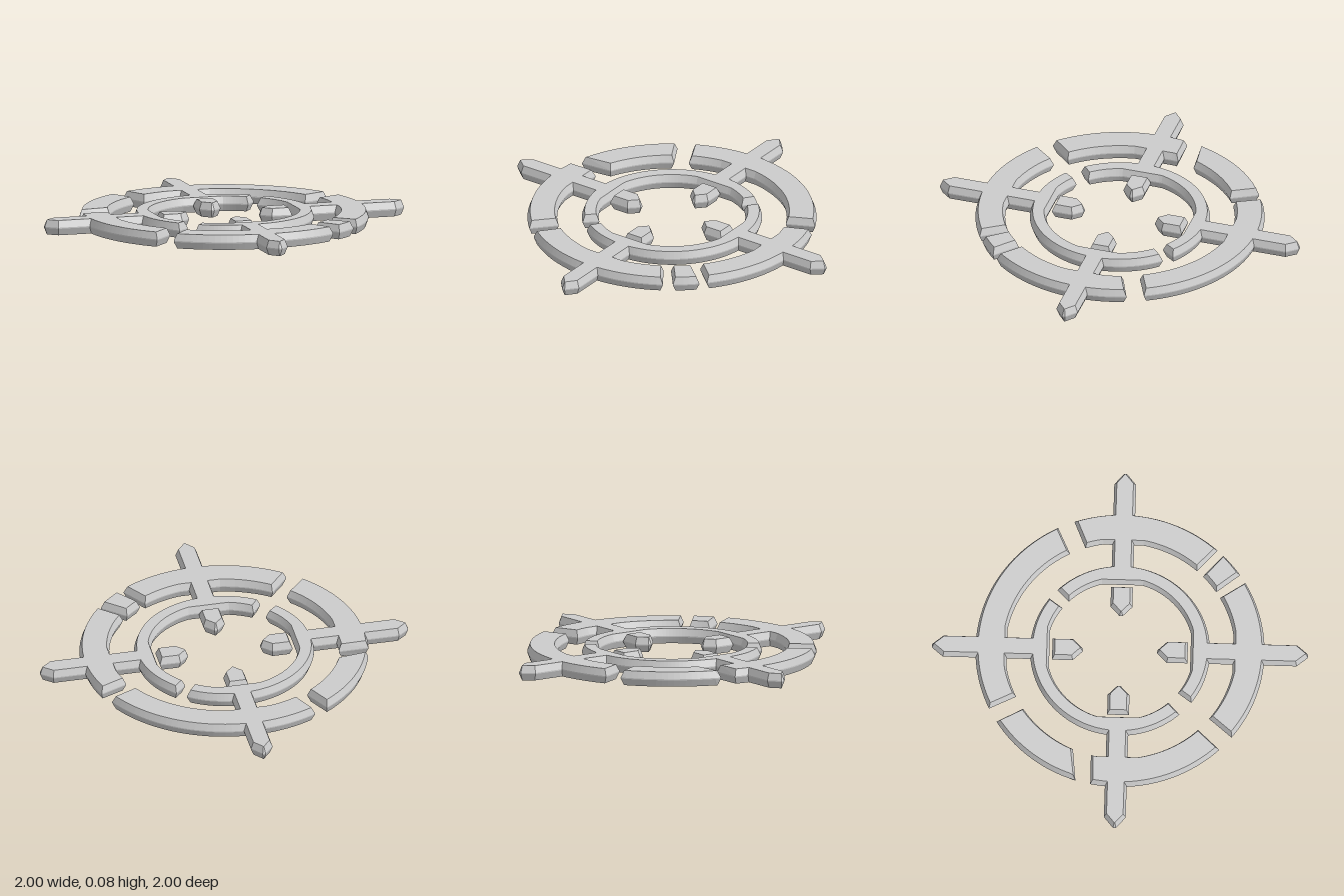
import * as THREE from 'three';

const RAD = Math.PI / 180;
const HEIGHT = 0.08, BEVEL = 0.014;
const INNER = [0.39, 0.478];      // radii of the inner ring
const OUTER = [0.61, 0.768];      // radii of the outer ring
const HALF = 0.058;               // half width of spokes and pegs
const FLAT = { 0.39: 0.375, 0.61: 0.6 };   // inner edges flatten across the axes

// points along an arc, angles in degrees counter-clockwise from +x seen from above
function arc(r, a0, a1) {
  const n = Math.max(2, Math.ceil(Math.abs(a1 - a0) / 2.5));
  const lim = FLAT[r] ?? r;
  const pts = [];
  for (let i = 0; i <= n; i++) {
    const a = (a0 + (a1 - a0) * i / n) * RAD;
    pts.push(new THREE.Vector2(
      THREE.MathUtils.clamp(r * Math.cos(a), -lim, lim),
      THREE.MathUtils.clamp(r * Math.sin(a), -lim, lim)));
  }
  return pts;
}

// point given along and across a spoke direction
function local(angle, along, across) {
  return new THREE.Vector2(along, across).rotateAround(new THREE.Vector2(), angle * RAD);
}

// angle at which a spoke's side meets a circle
const half = (r) => Math.asin(HALF / r) / RAD;

// plate with a ridge at mid height and sloping edges
function plate(name, pts) {
  const outline = pts.filter((p, i) => p.distanceTo(pts[(i + 1) % pts.length]) > 1e-4);
  const depth = 0.006;
  const geo = new THREE.ExtrudeGeometry(new THREE.Shape(outline), {
    depth, bevelEnabled: true, bevelSegments: 1,
    bevelSize: BEVEL, bevelOffset: -BEVEL, bevelThickness: (HEIGHT - depth) / 2,
  });
  geo.translate(0, 0, (HEIGHT - depth) / 2);
  geo.rotateX(-Math.PI / 2);
  const mesh = new THREE.Mesh(geo,
    new THREE.MeshStandardMaterial({ color: 0xcccccc, flatShading: true }));
  mesh.name = name;
  return mesh;
}

// free ring block: inner and outer edges may end at different angles
const block = (name, in0, in1, out0, out1) =>
  plate(name, [...arc(OUTER[1], out0, out1), ...arc(OUTER[0], in1, in0)]);

// outline of one spoke with the outer ring segment it carries
function spoke({ at, in0, in1, out0, out1 }) {
  const hi = half(OUTER[0]), ho = half(OUTER[1]);
  return [
    ...arc(OUTER[0], at - hi, in0),
    ...arc(OUTER[1], out0, at - ho),
    local(at, 0.94, -HALF),
    local(at, 1, -0.008), local(at, 1, 0.008),
    local(at, 0.94, HALF),
    ...arc(OUTER[1], at + ho, out1),
    ...arc(OUTER[0], in1, at + hi),
  ];
}

// half of the inner ring, joined with the spokes that grow out of it
function ringHalf(name, a0, a1, spokes) {
  const h = half(INNER[1]);
  const pts = [];
  let from = a0;
  for (const s of spokes) {
    pts.push(...arc(INNER[1], from, s.at - h), ...spoke(s));
    from = s.at + h;
  }
  pts.push(...arc(INNER[1], from, a1), ...arc(INNER[0], a1, a0));
  return plate(name, pts);
}

export function createModel() {
  const model = new THREE.Group();
  model.name = 'reticle';

  // back and right-hand spokes share one half of the ring, front and left the other
  model.add(ringHalf('backRingHalf', 53.4, 222.9, [
    { at: 90, in0: 27.5, in1: 116.7, out0: 27, out1: 116.7 },
    { at: 180, in0: 167, in1: 224.5, out0: 169.8, out1: 225 },
  ]));
  model.add(ringHalf('frontRingHalf', 234, 405.7, [
    { at: 270, in0: 232.7, in1: 301, out0: 232.2, out1: 301.6 },
    { at: 360, in0: 319.5, in1: 379.2, out0: 319.3, out1: 380 },
  ]));

  // loose pieces of the outer ring
  model.add(block('longRingBlock', 124.2, 157.5, 123.1, 163.7));
  model.add(block('shortRingBlock', -55.2, -44.7, -54.4, -43.9));

  // pointed pegs aimed at the centre
  for (let a = 0; a < 360; a += 90) {
    model.add(plate('innerPeg', [
      local(a, 0.36, -HALF), local(a, 0.36, HALF), local(a, 0.25, HALF),
      local(a, 0.198, 0.008), local(a, 0.198, -0.008), local(a, 0.25, -HALF),
    ]));
  }
  return model;
}
